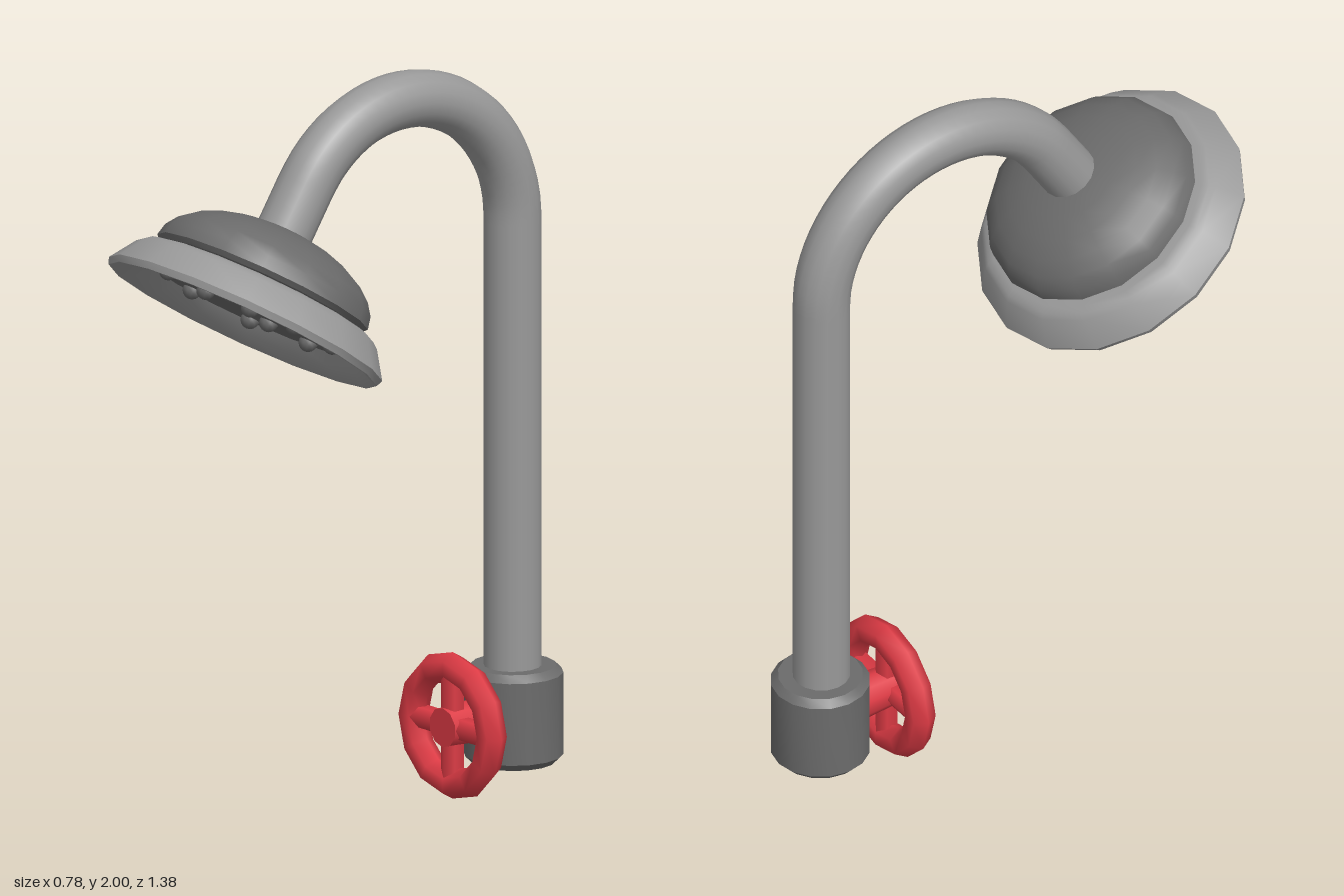
import * as THREE from 'three';
import { toCreasedNormals } from 'three/addons/utils/BufferGeometryUtils.js';

const lightMetal = new THREE.MeshStandardMaterial({ color: 0x999999 });
lightMetal.name = 'lightMetal';
const darkMetal = new THREE.MeshStandardMaterial({ color: 0x6b6b6b });
darkMetal.name = 'darkMetal';
const redPaint = new THREE.MeshStandardMaterial({ color: 0xdc3a44 });
redPaint.name = 'redPaint';

function add(parent, name, geometry, material, x = 0, y = 0, z = 0) {
  const mesh = new THREE.Mesh(geometry, material);
  mesh.name = name;
  mesh.position.set(x, y, z);
  parent.add(mesh);
  return mesh;
}

// Revolved profile with sharp corners kept
function lathe(points, sides) {
  const profile = points.map(([r, y]) => new THREE.Vector2(r, y));
  return toCreasedNormals(new THREE.LatheGeometry(profile, sides), 0.6);
}

function createPipe() {
  const tilt = THREE.MathUtils.degToRad(33);
  const R = 0.385, cy = 1.54, cz = -0.17;
  const path = new THREE.CurvePath();
  const onArc = (a) => new THREE.Vector3(0, cy + R * Math.sin(a), cz + R * Math.cos(a));
  const arc = [];
  for (let i = 0; i <= 16; i++) arc.push(onArc(Math.PI + (tilt - Math.PI) * i / 16));
  const end = arc[16].clone().add(new THREE.Vector3(0, -Math.cos(tilt), Math.sin(tilt)).multiplyScalar(0.17));
  path.add(new THREE.LineCurve3(new THREE.Vector3(0, 0.3, cz - R), arc[0]));
  path.add(new THREE.CatmullRomCurve3(arc));
  path.add(new THREE.LineCurve3(arc[16], end));
  return new THREE.TubeGeometry(path, 72, 0.076, 16);
}

function createHead() {
  const head = new THREE.Group();
  head.name = 'showerHead';
  head.position.set(0, 1.412, 0.368);
  head.rotation.x = THREE.MathUtils.degToRad(-33);

  add(head, 'rim', lathe([[0.3, 0.052], [0.335, 0.022], [0.375, 0], [0.385, 0], [0.392, 0.018],
    [0.345, 0.088], [0.33, 0.1], [0.31, 0.106], [0.26, 0.106]], 16), lightMetal);

  // Flattened dome
  const dome = [[0.25, 0.105], [0.29, 0.112], [0.302, 0.125]];
  for (let i = 1; i <= 7; i++) {
    const a = i / 7 * Math.PI / 2;
    dome.push([i === 7 ? 0 : 0.302 * Math.cos(a), 0.125 + 0.15 * Math.sin(a)]);
  }
  add(head, 'dome', lathe(dome, 16), darkMetal);

  // Recessed spray plate with one centre nozzle and two rings
  add(head, 'sprayPlate', new THREE.CircleGeometry(0.302, 16).rotateX(Math.PI / 2), darkMetal, 0, 0.052, 0);
  const nozzle = new THREE.SphereGeometry(0.026, 10, 8);
  add(head, 'nozzle', nozzle, darkMetal, 0, 0.05, 0);
  for (const [count, radius, start] of [[4, 0.138, Math.PI * 3 / 8], [8, 0.235, 0]]) {
    for (let i = 0; i < count; i++) {
      const a = start + i / count * Math.PI * 2;
      add(head, 'nozzle', nozzle, darkMetal, radius * Math.cos(a), 0.05, radius * Math.sin(a));
    }
  }
  return head;
}

function createHandwheel() {
  const wheel = new THREE.Group();
  wheel.name = 'handwheel';
  wheel.position.set(0, 0.202, -0.35);
  add(wheel, 'wheelRing', new THREE.TorusGeometry(0.158, 0.04, 6, 12), redPaint);
  for (let i = 0; i < 2; i++) {
    const spoke = add(wheel, 'spokes', new THREE.CylinderGeometry(0.032, 0.032, 0.29, 6), redPaint);
    spoke.rotation.z = i * Math.PI / 2;
  }
  add(wheel, 'hub', new THREE.CylinderGeometry(0.053, 0.06, 0.13, 10).rotateX(Math.PI / 2), redPaint, 0, 0, -0.03);
  return wheel;
}

export function createModel() {
  const model = new THREE.Group();
  model.name = 'shower';
  add(model, 'pipe', createPipe(), lightMetal);
  // Valve body with bevelled ends
  add(model, 'valveBody', lathe([[0, 0.072], [0.112, 0.072], [0.131, 0.091],
    [0.131, 0.312], [0.112, 0.331], [0, 0.331]], 16), darkMetal, 0, 0, -0.558);
  model.add(createHandwheel(), createHead());
  return model;
}
